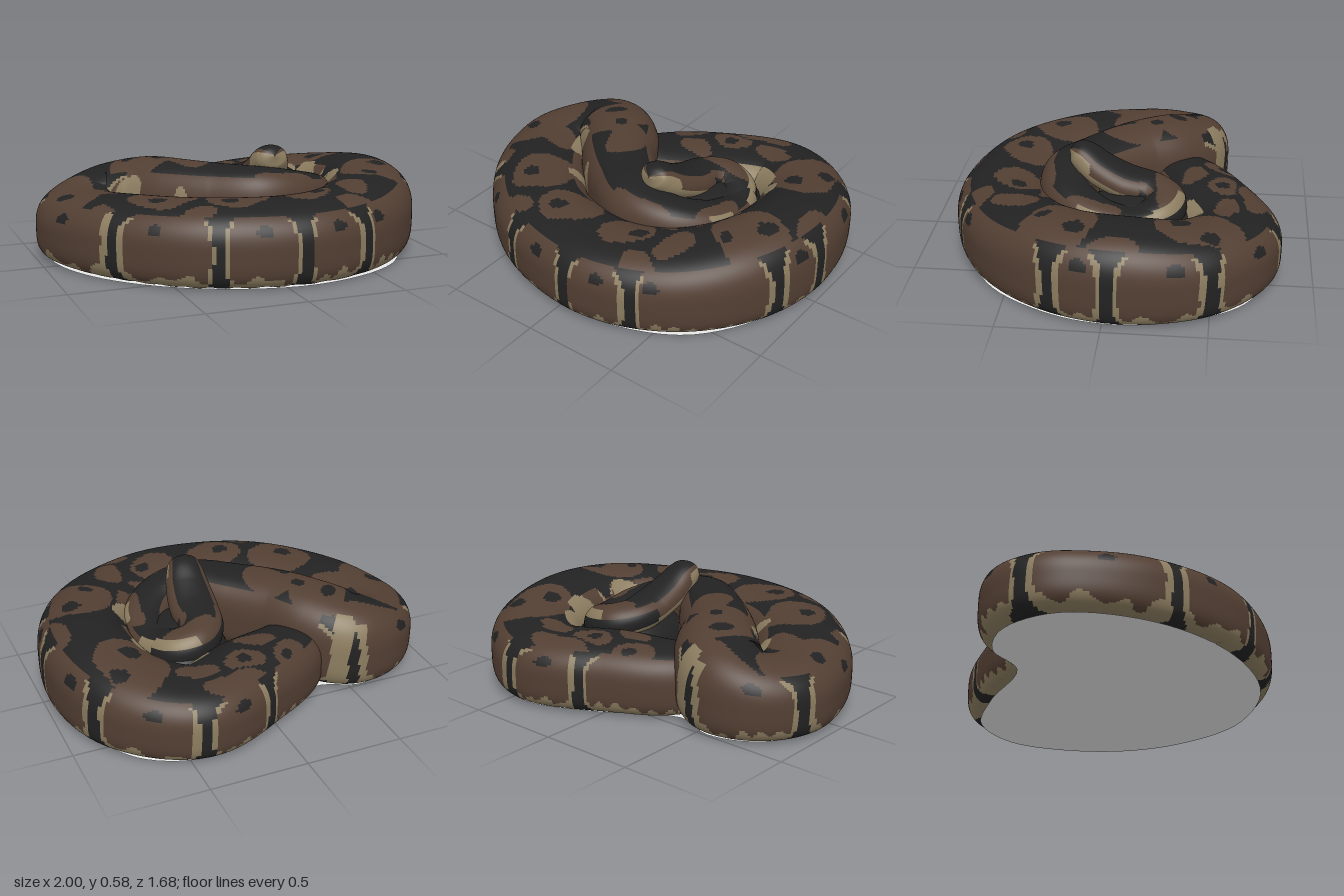
import * as THREE from 'three';

const mat = (name, color) => {
  const m = new THREE.MeshStandardMaterial({ color });
  m.name = name;
  return m;
};

const DARK = 0, BROWN = 1, TAN = 2;
const skin = [mat('darkScales', 0x222222), mat('brownScales', 0x533f33), mat('tanScales', 0x8c7d60)];
const grey = mat('paleUnderside', 0xf4f4f4);
grey.side = THREE.DoubleSide;

// Brown saddles seen on the back: x, z, radius x, radius z
const saddles = [
  [-0.83, -0.12, 0.14, 0.27], [-0.65, 0.0, 0.11, 0.09], [-0.62, -0.46, 0.22, 0.07],
  [-0.42, -0.22, 0.16, 0.2], [-0.22, -0.06, 0.1, 0.15], [-0.47, 0.33, 0.16, 0.17],
  [-0.8, 0.33, 0.08, 0.11], [-0.4, 0.63, 0.11, 0.055], [-0.15, 0.5, 0.16, 0.13],
  [0.21, 0.5, 0.12, 0.12], [0.42, 0.69, 0.1, 0.09], [0.47, 0.46, 0.07, 0.12],
  [0.74, 0.22, 0.18, 0.18], [0.92, -0.04, 0.06, 0.12], [0.66, -0.43, 0.16, 0.21],
  [0.2, -0.7, 0.19, 0.07], [-0.12, -0.53, 0.09, 0.08], [0.13, -0.55, 0.11, 0.07],
  [0.38, -0.56, 0.11, 0.06], [0.0, -0.38, 0.1, 0.06], [0.2, 0.35, 0.2, 0.04],
  [0.48, 0.1, 0.06, 0.16], [0.28, -0.26, 0.14, 0.065],
];
// Dark spots inside the saddles: x, z, radius
const spots = [
  [-0.47, -0.28, 0.045], [-0.33, -0.15, 0.035], [-0.86, -0.05, 0.04], [-0.52, 0.36, 0.045],
  [-0.2, 0.52, 0.045], [0.27, 0.5, 0.04], [0.79, 0.13, 0.05], [0.76, -0.5, 0.045],
  [0.63, -0.33, 0.05], [0.13, -0.55, 0.035], [0.66, 0.32, 0.035], [-0.1, -0.54, 0.03],
];
// Dark bands and dark spots on the outer flank, as headings around the coil
const bands = [-1.07, -0.43, 0.08, 0.5, 1.3, 1.6, 2.09, 2.65, 3.05, -2.42, -1.85];
const flankSpots = [-0.81, -0.16, 0.3, 0.62, 1.46, 1.92, 2.4, 2.85, -2.1, -1.45];
// Pale patches on the inner walls and in the fold: x, z, radius
const patches = [
  [0.5, -0.22, 0.09], [0.5, 0.09, 0.07], [-0.55, -0.05, 0.07], [0.38, -0.37, 0.13],
  [-0.35, 0.2, 0.05], [-0.43, -0.5, 0.06], [-0.76, 0.36, 0.03],
];

const nearest = (list, heading) => Math.min(...list.map((b) => {
  const d = Math.abs(heading - b);
  return Math.min(d, Math.PI * 2 - d) * 0.88;
}));

// Colour of the body; h runs from -1 at the belly to 1 along the spine
function bodyColour(p, h) {
  const x = p.x + 0.015 * Math.sin(17 * p.z + 9 * p.y), z = p.z + 0.015 * Math.sin(19 * p.x + 2);
  const ragged = 0.012 * Math.sin(31 * p.x + 23 * p.z) + 0.012 * Math.sin(57 * p.x - 41 * p.z);
  if (h < 0.85 && patches.some(([a, b, r]) => Math.hypot(x - a, z - b) < r)) return TAN;
  if (h > 0.8) {
    if (spots.some(([a, b, r]) => Math.hypot(x - a, z - b) < r)) return DARK;
    const inside = saddles.some(([a, b, rx, rz]) => ((x - a) / rx) ** 2 + ((z - b) / rz) ** 2 < 1.05);
    return inside ? BROWN : DARK;
  }
  if (Math.hypot(p.x, p.z) < 0.54) return p.y < 0.1 ? TAN : BROWN;
  const heading = Math.atan2(p.x, p.z), d = nearest(bands, heading);
  const flare = 0.026 + 0.14 * Math.abs(h) ** 4 * (h > 0 ? 1 : 0.5) + ragged * 0.4;
  if (d < flare) return DARK;
  if (p.y < 0.07 + ragged * 1.5) return TAN;
  if (d < flare + 0.026 && h < 0.72) return TAN;
  return Math.hypot(nearest(flankSpots, heading) / 0.04, (h - 0.48) / 0.14) < 1 ? DARK : BROWN;
}

// Colour of the head: dark crown, brown cheek stripe, pale throat and snout
function headColour(p, h) {
  if (p.z < -0.12) return h > 0.5 ? bodyColour(p, h) : h > -0.3 ? DARK : TAN;
  if (h < (p.z > 0.13 ? 0.5 : -0.1)) return TAN;
  return h < 0.68 ? BROWN : DARK;
}

// Loft oval sections along a path of [x, y, z, half width, half height];
// upper and lower set how square each half of the section is
function loft(name, path, rows, cols, upper, lower, colour) {
  const centre = new THREE.CatmullRomCurve3(path.map((p) => new THREE.Vector3(p[0], p[1], p[2])), false, 'catmullrom');
  const size = new THREE.CatmullRomCurve3(path.map((p) => new THREE.Vector3(p[3], p[4], 0)), false, 'catmullrom');
  const points = [], heights = [], up0 = new THREE.Vector3(0, 1, 0);
  const bend = (v, power) => Math.sign(v) * Math.abs(v) ** power;
  for (let i = 0; i <= rows; i++) {
    const t = i / rows, c = centre.getPoint(t), s = size.getPoint(t), dir = centre.getTangent(t);
    const side = up0.clone().cross(dir).normalize();
    const up = dir.clone().cross(side);
    for (let j = 0; j < cols; j++) {
      const a = (j / cols) * Math.PI * 2, power = Math.sin(a) < 0 ? lower : upper;
      const h = bend(Math.sin(a), power);
      const p = c.clone().addScaledVector(side, bend(Math.cos(a), power) * s.x).addScaledVector(up, h * s.y);
      p.y = Math.max(p.y, 0.024 + 0.008 * Math.sin(40 * p.x + 33 * p.z));
      points.push(p);
      heights.push(h);
    }
  }
  const faces = [[], [], []];
  for (let i = 0; i < rows; i++) {
    for (let j = 0; j < cols; j++) {
      const k = (j + 1) % cols;
      const a = i * cols + j, b = i * cols + k, c = a + cols, d = b + cols;
      const mid = points[a].clone().add(points[d]).multiplyScalar(0.5);
      faces[colour(mid, (heights[a] + heights[b]) / 2)].push(a, b, c, b, d, c);
    }
  }
  const geo = new THREE.BufferGeometry().setFromPoints(points);
  geo.setIndex(faces.flat());
  let start = 0;
  faces.forEach((f, m) => {
    geo.addGroup(start, f.length, m);
    start += f.length;
  });
  geo.computeVertexNormals();
  const mesh = new THREE.Mesh(geo, skin);
  mesh.name = name;
  return mesh;
}

export function createModel() {
  const model = new THREE.Group();
  model.name = 'coiledSnake';

  // Thick outer coil, folding over at one side and crossing the middle
  model.add(loft('body', [
    [-0.34, 0.18, -0.2, 0.14, 0.15],
    [-0.18, 0.18, -0.35, 0.2, 0.17],
    [0.06, 0.19, -0.465, 0.235, 0.18],
    [0.4, 0.19, -0.6, 0.24, 0.18],
    [0.67, 0.21, -0.42, 0.24, 0.2],
    [0.76, 0.23, -0.1, 0.24, 0.225],
    [0.69, 0.23, 0.22, 0.24, 0.22],
    [0.45, 0.21, 0.47, 0.25, 0.205],
    [0.1, 0.205, 0.58, 0.255, 0.2],
    [-0.32, 0.205, 0.48, 0.25, 0.2],
    [-0.62, 0.2, 0.2, 0.25, 0.19],
    [-0.755, 0.19, -0.1, 0.24, 0.18],
    [-0.7, 0.2, -0.27, 0.235, 0.19],
    [-0.55, 0.23, -0.33, 0.225, 0.22],
    [-0.4, 0.26, -0.22, 0.22, 0.235],
    [-0.27, 0.28, -0.05, 0.2, 0.225],
    [-0.1, 0.31, 0.115, 0.18, 0.19],
    [0.07, 0.33, 0.245, 0.155, 0.165],
    [0.27, 0.31, 0.235, 0.13, 0.15],
    [0.41, 0.28, 0.1, 0.12, 0.13],
    [0.44, 0.26, -0.08, 0.1, 0.11],
    [0.4, 0.28, -0.2, 0.1, 0.1],
  ], 580, 104, 0.82, 0.5, bodyColour));

  // Neck and raised head resting on the coil
  model.add(loft('head', [
    [0.42, 0.27, -0.1, 0.1, 0.09],
    [0.37, 0.3, -0.22, 0.11, 0.1],
    [0.27, 0.33, -0.25, 0.11, 0.1],
    [0.2, 0.36, -0.17, 0.115, 0.09],
    [0.185, 0.4, -0.04, 0.125, 0.08],
    [0.17, 0.455, 0.08, 0.115, 0.08],
    [0.155, 0.515, 0.165, 0.095, 0.075],
    [0.15, 0.54, 0.215, 0.07, 0.055],
    [0.15, 0.55, 0.245, 0.002, 0.002],
  ], 110, 56, 0.95, 0.95, headColour));

  // Inner turns of the body filling the middle beneath the head
  const inner = new THREE.Mesh(new THREE.SphereGeometry(1, 40, 24), skin[DARK]);
  inner.scale.set(0.26, 0.18, 0.34);
  inner.position.set(0.3, 0.2, -0.08);
  inner.name = 'innerCoil';
  model.add(inner);

  // Flat sheet closing the underside
  const outline = new THREE.CatmullRomCurve3([
    [-0.33, -0.42], [0.05, -0.64], [0.4, -0.77], [0.7, -0.66], [0.87, -0.38], [0.93, -0.05],
    [0.86, 0.27], [0.61, 0.61], [0.12, 0.77], [-0.42, 0.62], [-0.79, 0.29], [-0.93, -0.1],
    [-0.81, -0.38], [-0.57, -0.49],
  ].map(([x, z]) => new THREE.Vector3(x, -z, 0)), true);
  const sheet = new THREE.Mesh(new THREE.ShapeGeometry(new THREE.Shape(outline.getPoints(90))), grey);
  sheet.rotation.x = -Math.PI / 2;
  sheet.position.y = 0.014;
  sheet.name = 'underside';
  model.add(sheet);

  return model;
}
